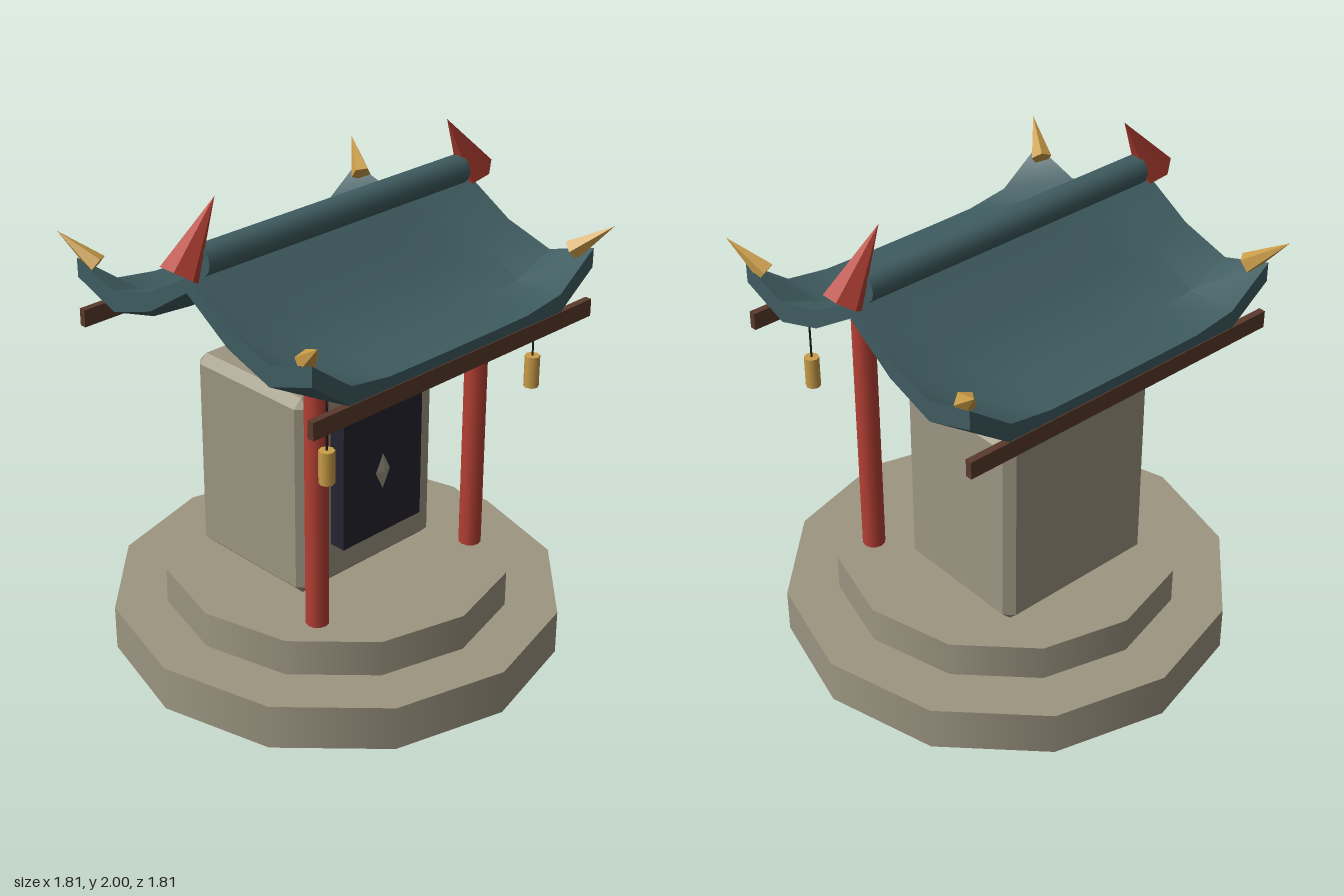
import * as THREE from 'three';
import { toCreasedNormals } from 'three/addons/utils/BufferGeometryUtils.js';
import { ConvexGeometry } from 'three/addons/geometries/ConvexGeometry.js';

const paint = (name, color, flatShading = false) => {
  const m = new THREE.MeshStandardMaterial({ color, flatShading });
  m.name = name;
  return m;
};

// Box with every edge cut off by c
function chamferedBox(w, h, d, c) {
  const pts = [];
  const [x, y, z] = [w / 2, h / 2, d / 2];
  for (const sx of [-1, 1]) for (const sy of [-1, 1]) for (const sz of [-1, 1]) {
    pts.push(new THREE.Vector3(sx * x, sy * (y - c), sz * (z - c)));
    pts.push(new THREE.Vector3(sx * (x - c), sy * y, sz * (z - c)));
    pts.push(new THREE.Vector3(sx * (x - c), sy * (y - c), sz * z));
  }
  return new ConvexGeometry(pts);
}

// Saddle roof: a swept profile along z whose eaves curl up towards both gables
function roofGeometry() {
  const halfX = 0.725, halfZ = 0.635, nx = 8, nz = 6;
  const heights = [1.735, 1.58, 1.46, 1.453];
  const thickness = [0.058, 0.075, 0.085, 0.078];
  const point = (i, j, top) => {
    const x = (i / nx) * 2 - 1, k = Math.abs(j - 3);
    const lift = 0.165 * Math.abs(x) ** 6 * (k / 3) ** 1.5;
    return [x * halfX, heights[k] + lift - (top ? 0 : thickness[k]), ((j - 3) / 3) * halfZ];
  };
  const pos = [];
  const quad = (a, b, c, d) => pos.push(...a, ...b, ...c, ...a, ...c, ...d);
  for (let i = 0; i < nx; i++) {
    for (let j = 0; j < nz; j++) {
      quad(point(i, j, 1), point(i, j + 1, 1), point(i + 1, j + 1, 1), point(i + 1, j, 1));
      quad(point(i, j, 0), point(i + 1, j, 0), point(i + 1, j + 1, 0), point(i, j + 1, 0));
    }
    // eave edges
    quad(point(i, nz, 0), point(i + 1, nz, 0), point(i + 1, nz, 1), point(i, nz, 1));
    quad(point(i + 1, 0, 0), point(i, 0, 0), point(i, 0, 1), point(i + 1, 0, 1));
  }
  // gable edges
  for (let j = 0; j < nz; j++) {
    quad(point(nx, j + 1, 0), point(nx, j, 0), point(nx, j, 1), point(nx, j + 1, 1));
    quad(point(0, j, 0), point(0, j + 1, 0), point(0, j + 1, 1), point(0, j, 1));
  }
  const g = new THREE.BufferGeometry();
  g.setAttribute('position', new THREE.Float32BufferAttribute(pos, 3));
  return toCreasedNormals(g, 0.6);
}

export function createModel() {
  const model = new THREE.Group();
  model.name = 'shrine';
  const stone = paint('stone', 0x9c9581);
  const teal = paint('roof teal', 0x3f5c60);
  const red = paint('lacquer red', 0xb33f33);
  const redFlat = paint('lacquer red', 0xb33f33, true);
  redFlat.color = red.color;
  const brown = paint('beam brown', 0x5a3a2c);
  const gold = paint('gold', 0xc99c48);
  const navy = paint('door navy', 0x232430);
  const black = paint('cord black', 0x1c1a1a);

  const add = (name, geometry, material, x = 0, y = 0, z = 0) => {
    const mesh = new THREE.Mesh(geometry, material);
    mesh.name = name;
    mesh.position.set(x, y, z);
    model.add(mesh);
    return mesh;
  };
  // Cone whose base centre and tip are given
  const spike = (name, radius, sides, base, tip, material) => {
    const a = new THREE.Vector3(...base), b = new THREE.Vector3(...tip);
    const dir = b.clone().sub(a), length = dir.length();
    const mid = a.add(b).multiplyScalar(0.5);
    const geometry = toCreasedNormals(new THREE.ConeGeometry(radius, length, sides), 0.3);
    const mesh = add(name, geometry, material, mid.x, mid.y, mid.z);
    mesh.quaternion.setFromUnitVectors(new THREE.Vector3(0, 1, 0), dir.normalize());
  };

  // Stepped twelve-sided base
  add('lowerStep', new THREE.CylinderGeometry(0.907, 0.907, 0.185, 12), stone, 0, 0.0925, 0);
  add('upperStep', new THREE.CylinderGeometry(0.695, 0.695, 0.15, 12), stone, 0, 0.26, 0);

  // Sanctuary block, door and door ornament
  add('sanctuary', chamferedBox(0.725, 0.845, 0.605, 0.036), stone, 0, 0.7575, -0.1175);
  add('door', new THREE.BoxGeometry(0.42, 0.54, 0.08), navy, 0, 0.79, 0.215);
  add('doorOrnament', new THREE.OctahedronGeometry(1), stone, 0, 0.79, 0.255).scale.set(0.038, 0.077, 0.01);

  // Roof and ridge roll
  add('roof', roofGeometry(), teal);
  const ridge = add('ridgeRoll', new THREE.CylinderGeometry(0.058, 0.058, 1.33, 12), teal, 0, 1.78, 0);
  ridge.rotation.z = Math.PI / 2;

  // Eave beams
  for (const s of [-1, 1])
    add('eaveBeam', new THREE.BoxGeometry(1.45, 0.07, 0.028), brown, 0, 1.375, s * 0.625);

  for (const s of [-1, 1]) {
    // Front pillars
    add('pillar', new THREE.CylinderGeometry(0.046, 0.046, 1.14, 12), red, s * 0.425, 0.905, 0.335);
    // Hanging bells
    add('bellCord', new THREE.CylinderGeometry(0.004, 0.004, 0.22, 6), black, s * 0.545, 1.295, 0.515);
    add('bell', new THREE.CylinderGeometry(0.03, 0.03, 0.13, 8), gold, s * 0.545, 1.125, 0.515);
    // Ridge and corner finials
    spike('ridgeFinial', 0.075, 6, [s * 0.755, 1.753, 0], [s * 0.585, 2, 0], redFlat);
    for (const t of [-1, 1])
      spike('cornerFinial', 0.042, 5, [s * 0.685, 1.6, t * 0.565], [s * 0.76, 1.715, t * 0.7], gold);
  }
  return model;
}
